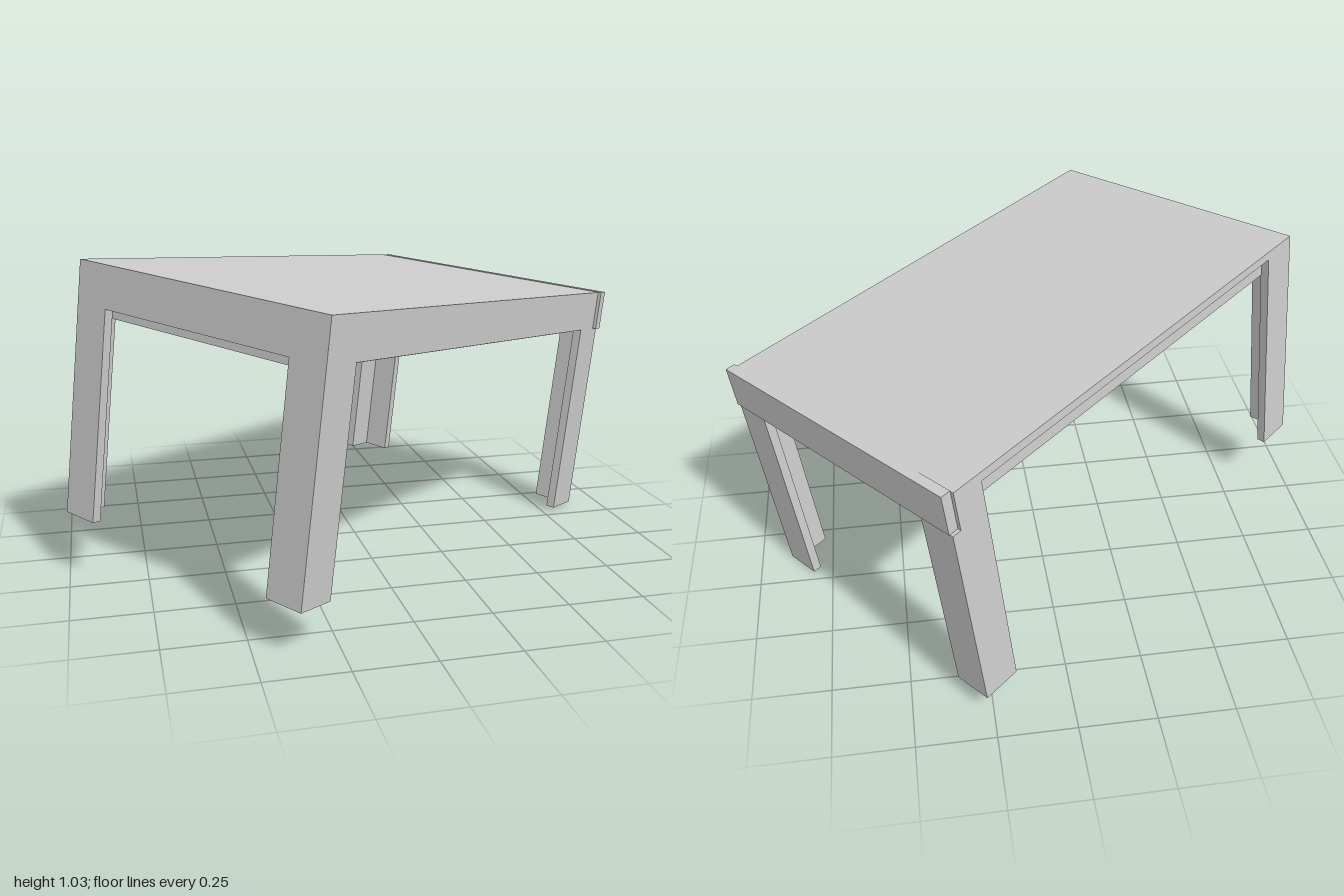
import * as THREE from 'three';

export function createModel() {
  const model = new THREE.Group();
  model.name = 'tiltedTable';
  const material = new THREE.MeshStandardMaterial({ color: 0xcccccc, flatShading: true });

  // Table frame: x along the length, z across, y = 0 at the table top
  const L = 0.818, W = 0.503; // half length, half width
  const T = 0.03; // board thickness
  const H = 0.137; // board height
  const LEG = 0.13, HEIGHT = 0.83;

  const table = new THREE.Group();
  table.name = 'table';
  table.rotation.set(0, THREE.MathUtils.degToRad(38.8), THREE.MathUtils.degToRad(-6.3), 'ZYX');
  table.position.set(0.04, 0.934, 0);
  model.add(table);

  // Box board given by its limits on each axis, in any order
  function board(name, x, y, z) {
    const size = [x, y, z].map(([a, b]) => Math.abs(b - a));
    const mesh = new THREE.Mesh(new THREE.BoxGeometry(...size), material);
    mesh.position.set((x[0] + x[1]) / 2, (y[0] + y[1]) / 2, (z[0] + z[1]) / 2);
    mesh.name = name;
    table.add(mesh);
  }

  // Top panel between the two end boards
  board('topPanel', [-L + T, L - T], [-T, 0], [-W, W]);

  // End boards; one sits slightly off to the side
  board('endBoard', [-L, -L + T], [-H, 0], [-W, W]);
  board('endBoardShifted', [L - T, L + 0.003], [-H, 0.002], [-W + 0.012, W + 0.012]);

  // Outer board on one long side only, between the legs
  board('sideBoard', [-L + LEG, L - LEG], [-H, -T], [W - T, W]);

  // Inner frame hung under the top
  const inset = 0.09, bottom = -T - H;
  for (const s of [-1, 1]) {
    board('innerRail', [-L + T, L - T], [bottom, -T], [s * (W - inset), s * (W - inset - T)]);
  }
  const span = [-W + inset + T, W - inset - T];
  for (const x of [-L + 1.5 * T, 0, L - 1.5 * T]) {
    board('crossRail', [x - T / 2, x + T / 2], [bottom, -T], span);
  }

  // Four legs, each of two boards forming an L
  for (const sx of [-1, 1]) {
    for (const sz of [-1, 1]) {
      board('legEndBoard', [sx * L, sx * (L - T)], [-HEIGHT, -H], [sz * W, sz * (W - LEG)]);
      board('legSideBoard', [sx * (L - T), sx * (L - LEG)], [-HEIGHT, -T], [sz * W, sz * (W - T)]);
    }
  }
  return model;
}
